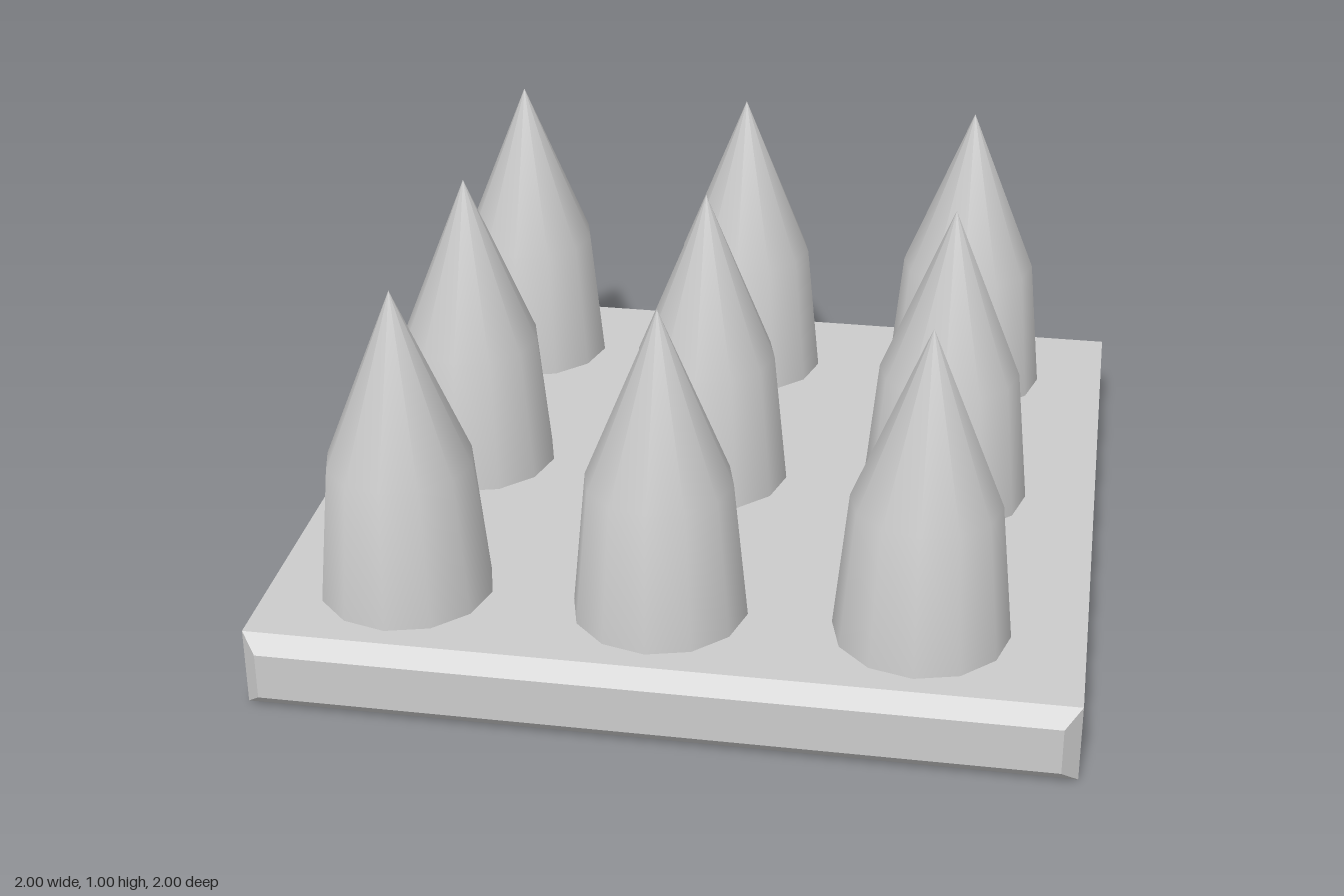
import * as THREE from 'three';

export function createModel() {
  const model = new THREE.Group();
  const material = new THREE.MeshStandardMaterial({ color: 0xcccccc });

  // Slab with bevelled front and back ends
  const bevel = 0.04;
  const w = 1 - bevel;
  const section = new THREE.Shape([
    new THREE.Vector2(-w, bevel),
    new THREE.Vector2(w, bevel),
    new THREE.Vector2(w, 0.2 - bevel),
    new THREE.Vector2(-w, 0.2 - bevel),
  ]);
  const slab = new THREE.ExtrudeGeometry(section, {
    depth: 2 * w,
    bevelEnabled: true,
    bevelSegments: 1,
    bevelSize: bevel,
    bevelThickness: bevel,
  });
  slab.translate(0, 0, -w);
  const base = new THREE.Mesh(slab, material);
  base.name = 'base';
  model.add(base);

  // Tapered twelve-sided spike, smooth from body to tip
  const spikeGeometry = new THREE.LatheGeometry([
    new THREE.Vector2(0.215, 0),
    new THREE.Vector2(0.18, 0.355),
    new THREE.Vector2(0, 0.8),
  ], 12);

  // Three by three grid of spikes, slightly off centre
  const spikes = new THREE.Group();
  spikes.name = 'spikes';
  spikes.position.set(-0.03, 0.2, 0.005);
  for (let row = -1; row <= 1; row++) {
    for (let column = -1; column <= 1; column++) {
      const spike = new THREE.Mesh(spikeGeometry, material);
      spike.name = 'spike';
      spike.position.set(column * 0.635, 0, row * 0.686);
      spikes.add(spike);
    }
  }
  model.add(spikes);

  return model;
}
